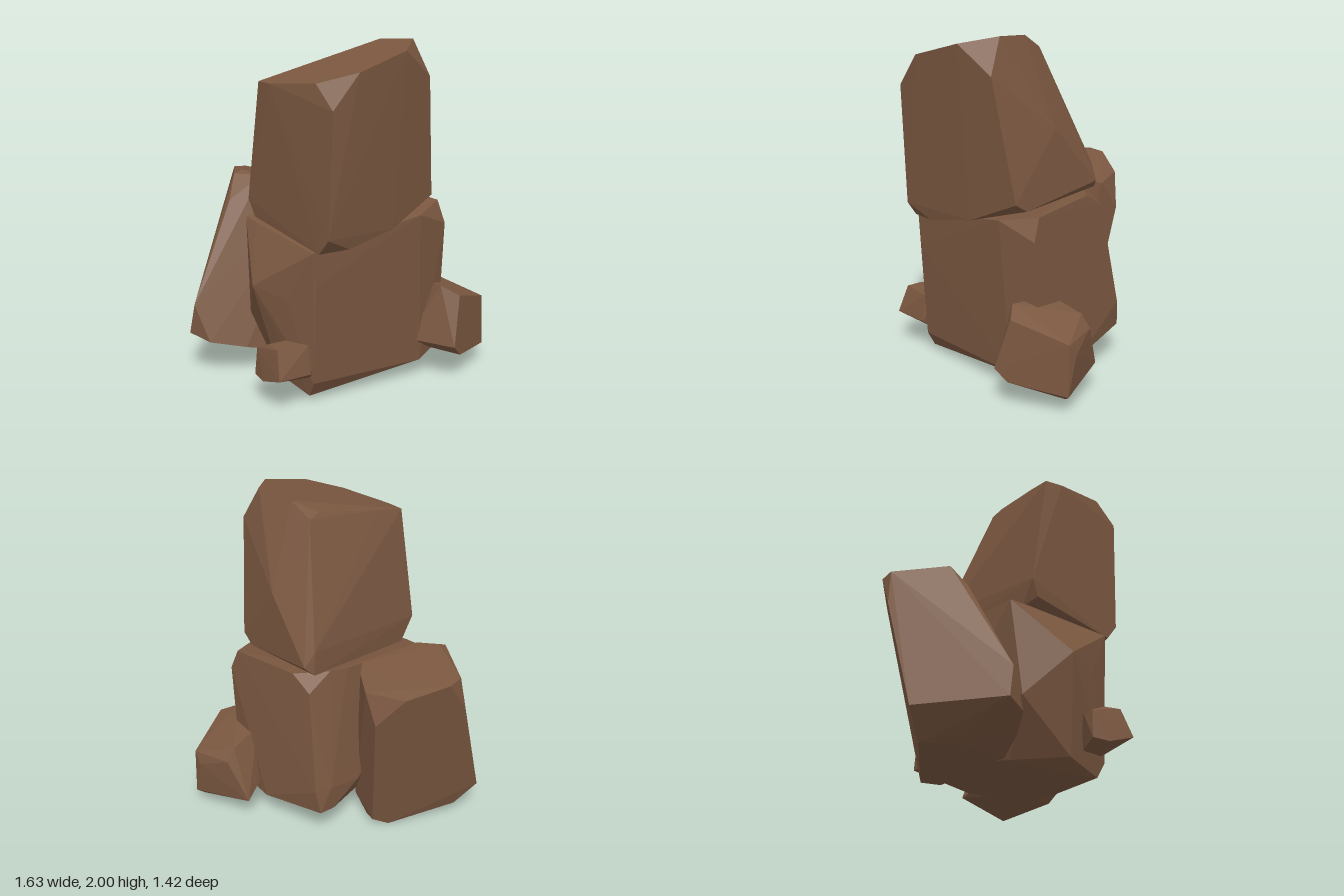
import * as THREE from 'three';
import { ConvexGeometry } from 'three/addons/geometries/ConvexGeometry.js';

// Each boulder is the faceted hull of a few corner points, [x, y, z].
const rocks = {
  topBoulder: [
    // sloping crown
    [-0.21, 1.87, 0.71], [0.11, 1.96, 0.66], [0.26, 2, 0.49], [0.19, 1.98, 0.26], [0.16, 1.9, 0.13],
    [0.08, 1.92, 0.155], [-0.35, 1.82, 0.16], [-0.53, 1.78, 0.17], [-0.52, 1.78, 0.28], [-0.4, 1.81, 0.58],
    // shoulders
    [-0.37, 1.68, 0.71], [0.31, 1.8, 0.59], [0.38, 1.48, 0.2],
    // base
    [-0.55, 1.1, 0.06], [-0.53, 1, 0.1], [-0.45, 0.96, 0.04], [-0.38, 0.98, 0.68], [-0.4, 0.89, 0.61],
    [-0.22, 0.9, 0.63], [0.09, 0.96, 0.58], [0.4, 1.1, 0.5], [0.4, 1.05, 0.42],
    [0.32, 1.22, -0.13], [0.38, 1.13, -0.11], [0.33, 1.08, -0.14],
  ],
  middleBoulder: [
    // top
    [0.4, 1.06, -0.02], [0.22, 1.07, -0.14], [0.1, 1.05, -0.14], [0.38, 0.98, -0.155], [0.5, 1.04, 0.42],
    [0.3, 1, 0.54], [-0.42, 0.89, 0.58], [-0.51, 0.96, -0.06], [-0.5, 0.95, 0.05],
    // sides
    [0.52, 0.91, 0.47], [-0.63, 0.65, 0.26], [-0.51, 0.6, 0.44], [-0.4, 0.7, 0.58],
    [0.32, 0.36, -0.28], [0.42, 0.36, -0.26], [0.1, 0.32, -0.25], [-0.52, 0.4, 0],
    // underside
    [0.4, 0.21, -0.28], [0.3, 0.2, -0.27], [0.52, 0.15, 0.13], [0.52, 0.15, 0.42], [0.34, 0.1, 0.5],
    [-0.2, 0.03, 0.46], [-0.4, 0.03, 0.5], [-0.39, 0.03, 0.42], [-0.4, 0.12, 0.55], [-0.48, 0.1, 0.3],
    [-0.3, 0.1, 0.02],
  ],
  backBoulder: [
    // top
    [-0.5, 1, -0.31], [-0.43, 1.14, -0.39], [-0.31, 1.14, -0.27], [0.01, 1.07, -0.17], [0.08, 1.05, -0.24],
    [0.15, 1.02, -0.38], [0.16, 0.85, -0.49], [0.03, 1.03, -0.6], [-0.2, 1.1, -0.71], [-0.29, 1.11, -0.69],
    [-0.32, 0.9, -0.71], [-0.38, 1.16, -0.39],
    // base
    [-0.52, 0.24, -0.64], [-0.42, 0.08, -0.55], [-0.5, 0.08, -0.36], [-0.82, 0.25, -0.21], [-0.8, 0.43, -0.18],
    [-0.74, 0.21, -0.1], [-0.53, 0.16, -0.04], [-0.3, 0.11, -0.01], [0.02, 0.1, -0.12], [0.03, 0.02, -0.25],
    [-0.03, 0, -0.39], [0.07, 0.06, -0.36],
  ],
  smallRightRock: [
    [0.44, 0.56, 0.56], [0.46, 0.55, 0.3], [0.52, 0.51, 0.64], [0.66, 0.49, 0.25], [0.81, 0.41, 0.47],
    [0.72, 0.42, 0.24], [0.81, 0.34, 0.42], [0.45, 0.22, 0.7], [0.52, 0.15, 0.66], [0.28, 0.23, 0.46],
    [0.815, 0.11, 0.48], [0.77, 0.08, 0.46], [0.65, 0.16, 0.13], [0.52, 0.22, 0.2], [0.4, 0.15, 0.4],
  ],
  smallLeftRock: [
    [-0.62, 0.36, 0.44], [-0.62, 0.36, 0.54], [-0.43, 0.35, 0.54], [-0.43, 0.35, 0.4], [-0.64, 0.2, 0.6],
    [-0.43, 0.19, 0.57], [-0.39, 0.26, 0.54], [-0.4, 0.15, 0.52], [-0.66, 0.15, 0.44], [-0.66, 0.16, 0.34],
    [-0.65, 0.32, 0.35], [-0.57, 0.32, 0.34], [-0.4, 0.15, 0.4],
  ],
};

export function createModel() {
  const stone = new THREE.MeshStandardMaterial({ color: 0x7a5740 });
  stone.name = 'brown stone';
  const group = new THREE.Group();
  group.name = 'rockPile';
  for (const [name, corners] of Object.entries(rocks)) {
    const points = corners.map((c) => new THREE.Vector3(...c));
    const mesh = new THREE.Mesh(new ConvexGeometry(points), stone);
    mesh.name = name;
    group.add(mesh);
  }
  return group;
}
